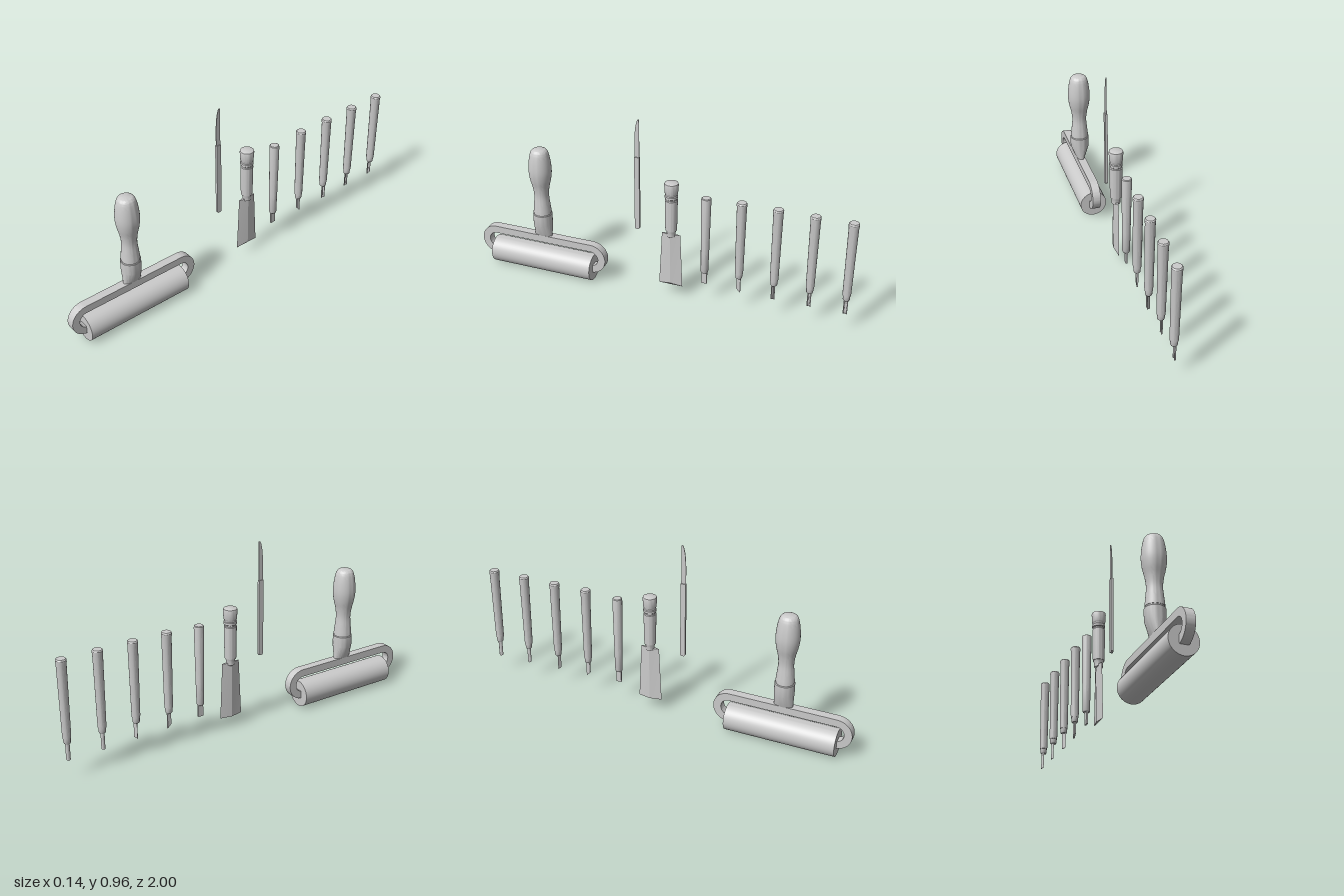
import * as THREE from 'three';
import { toCreasedNormals } from 'three/addons/utils/BufferGeometryUtils.js';

const material = new THREE.MeshStandardMaterial({ color: 0xcccccc, side: THREE.DoubleSide });

function add(parent, name, geometry, angle = 0.5) {
  const mesh = new THREE.Mesh(toCreasedNormals(geometry, angle), material);
  mesh.name = name;
  parent.add(mesh);
  return mesh;
}

function tool(parent, name, z) {
  const group = new THREE.Group();
  group.name = name;
  group.position.z = z;
  parent.add(group);
  return group;
}

// Turned part; profile pairs are [radius, y] from bottom to top
function turned(profile, segments = 32) {
  return new THREE.LatheGeometry(profile.map(([r, y]) => new THREE.Vector2(r, y)), segments);
}

// Outline drawn in (z, y), extruded along x and centred
function slab(shape, thickness, curveSegments = 16) {
  const g = new THREE.ExtrudeGeometry(shape, { depth: thickness, bevelEnabled: false, curveSegments });
  return g.translate(0, 0, -thickness / 2).rotateY(-Math.PI / 2);
}

function polygon(points) {
  return new THREE.Shape(points.map(([a, b]) => new THREE.Vector2(a, b)));
}

// Moves every vertex by a rule
function reshape(geometry, rule) {
  const p = geometry.attributes.position;
  const v = new THREE.Vector3();
  for (let i = 0; i < p.count; i++) {
    v.fromBufferAttribute(p, i);
    rule(v);
    p.setXYZ(i, v.x, v.y, v.z);
  }
  return geometry;
}

function buildRoller(parent) {
  const g = tool(parent, 'roller', 0.64);
  add(g, 'rollerDrum', new THREE.CylinderGeometry(0.071, 0.071, 0.57, 48).rotateX(Math.PI / 2).translate(0, 0.071, 0));

  // Flat bar bent round at both ends into the drum
  const q = Math.PI / 2, c = 0.275, y = 0.132;
  const s = new THREE.Shape();
  s.moveTo(-0.26, 0.05);
  s.absarc(-c, y, 0.082, -q, q, true);
  s.absarc(c, y, 0.082, q, -q, true);
  s.lineTo(0.26, 0.05);
  s.lineTo(0.26, 0.09);
  s.absarc(c, y, 0.042, -q, q, false);
  s.absarc(-c, y, 0.042, q, 3 * q, false);
  s.lineTo(-0.26, 0.09);
  s.closePath();
  add(g, 'rollerFrame', slab(s, 0.044));

  // Ferrule pinched to the bar's width at its foot
  const ferrule = turned([[0, 0.212], [0.049, 0.212], [0.05, 0.285], [0.05, 0.342], [0.047, 0.345], [0, 0.345]], 40);
  reshape(ferrule, v => { if (v.y < 0.25) v.x *= 0.45; });
  add(g, 'rollerFerrule', ferrule);

  const curve = new THREE.SplineCurve([
    [0.047, 0.352], [0.042, 0.4], [0.038, 0.45], [0.043, 0.497], [0.054, 0.545], [0.059, 0.59],
    [0.056, 0.64], [0.048, 0.685], [0.038, 0.706], [0.024, 0.713],
  ].map(([r, h]) => new THREE.Vector2(r, h)));
  const profile = curve.getPoints(40).map(p => [p.x, p.y]);
  add(g, 'rollerHandle', turned([[0.045, 0.342], [0.045, 0.352], ...profile, [0, 0.713]], 40));
}

function buildKnife(parent) {
  const g = tool(parent, 'knife', 0.105);
  const h = 0.013, top = 0.762, foot = 0.36;
  const handle = polygon([[-h, foot + 0.006], [-h + 0.005, foot], [h - 0.005, foot], [h, foot + 0.006], [h, top], [-h, top]]);
  add(g, 'knifeHandle', slab(handle, 0.013));
  const blade = new THREE.Shape();
  blade.moveTo(-0.012, top);
  blade.lineTo(0.012, top);
  blade.lineTo(0.012, 0.83);
  blade.quadraticCurveTo(0.011, 0.935, -0.005, 0.962);
  blade.lineTo(-0.012, 0.962);
  blade.closePath();
  add(g, 'knifeBlade', slab(blade, 0.004));
}

function buildScraper(parent) {
  const g = tool(parent, 'scraper', -0.075);
  add(g, 'scraperHandle', turned([
    [0, 0.39], [0.029, 0.39], [0.03, 0.41], [0.032, 0.56], [0.029, 0.564], [0.029, 0.57], [0.033, 0.574],
    [0.033, 0.585], [0.03, 0.589], [0.03, 0.595], [0.033, 0.6], [0.036, 0.645], [0.034, 0.653], [0.028, 0.656], [0, 0.656],
  ]));
  add(g, 'scraperNeck', turned([[0, 0.34], [0.022, 0.355], [0.022, 0.375], [0.027, 0.392], [0, 0.392]], 24));

  // Wide blade, thick in the middle and flaring toward the slanted edge
  const blade = new THREE.CylinderGeometry(1, 1, 1, 4);
  reshape(blade, v => {
    const foot = v.y < 0;
    v.z *= foot ? 0.063 : 0.049;
    v.x *= foot ? 0.012 : 0.014;
    v.y = foot ? 0.065 + Math.max(0, v.x) * 1.2 : 0.365;
  });
  add(g, 'scraperBlade', blade, 0.1);
}

// Cutting tips, each reaching up into its collar
const tips = {
  flat: () => slab(polygon([[-0.014, 0.115], [0.014, 0.115], [0.014, 0.2], [-0.014, 0.2]]), 0.009),
  skew: () => slab(polygon([[-0.01, 0.103], [0.01, 0.125], [0.01, 0.2], [-0.01, 0.2]]), 0.008),
  vee: () => channel([[-0.01, 0.009], [0, -0.008], [0.01, 0.009], [0.007, 0.009], [0, -0.003], [-0.007, 0.009]]),
  round: () => gouge(0.01, 0.006),
  wide: () => gouge(0.011, 0.008),
};

// Hollow section in (z, x), swept along y with a slanted cutting edge
function channel(section) {
  const g = new THREE.ExtrudeGeometry(polygon(section), { depth: 0.1, bevelEnabled: false });
  g.rotateX(-Math.PI / 2).rotateY(-Math.PI / 2).translate(0, 0.1, 0);
  return reshape(g, v => { if (v.y < 0.15) v.y += (v.x + 0.01) * 0.4; });
}

function gouge(outer, inner) {
  const arc = (r, t) => [r * Math.cos(t), r * Math.sin(t)];
  const steps = [...Array(13).keys()].map(i => Math.PI * (1 + i / 12));
  return channel([...steps.map(t => arc(outer, t)), ...steps.reverse().map(t => arc(inner, t))]);
}

function buildCarver(parent, kind, z) {
  const g = tool(parent, kind + 'Carver', z);
  if (kind === 'flat') {
    add(g, 'carverHandle', turned([[0, 0.18], [0.016, 0.18], [0.019, 0.186], [0.021, 0.3], [0.025, 0.595], [0.024, 0.603], [0.02, 0.606], [0, 0.606]], 24));
  } else {
    add(g, 'carverHandle', turned([[0, 0.215], [0.02, 0.215], [0.021, 0.23], [0.0245, 0.59], [0.026, 0.6], [0.026, 0.61], [0.022, 0.616], [0, 0.616]], 24));
    add(g, 'carverCollar', turned([[0, 0.188], [0.015, 0.188], [0.017, 0.192], [0.018, 0.216], [0, 0.216]], 24));
  }
  add(g, 'carverTip', tips[kind]());
}

export function createModel() {
  const model = new THREE.Group();
  model.name = 'printmakingTools';
  buildRoller(model);
  buildKnife(model);
  buildScraper(model);
  Object.keys(tips).forEach((kind, i) => buildCarver(model, kind, -0.255 - i * 0.18));
  return model;
}
